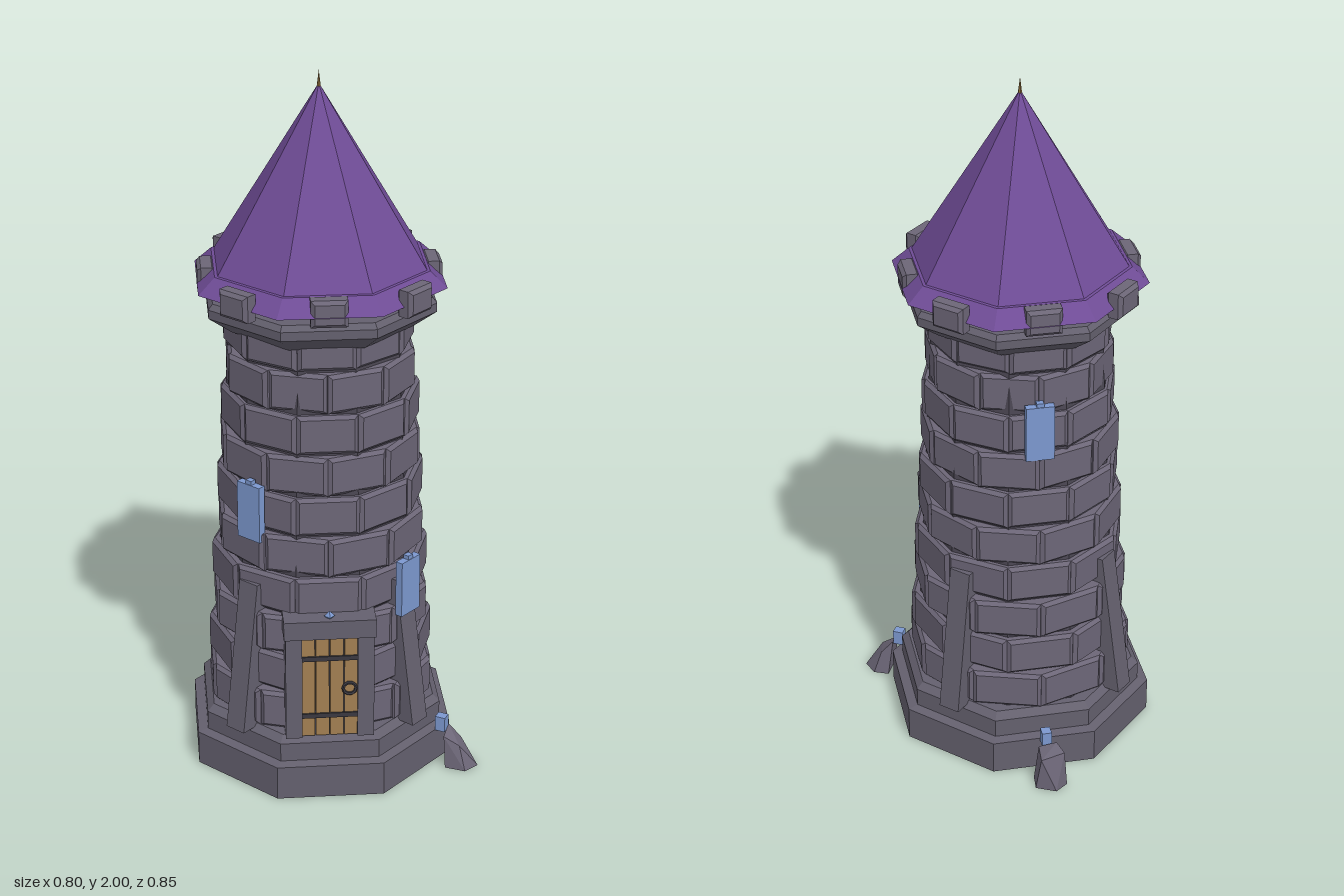
import * as THREE from 'three';
import { ConvexGeometry } from 'three/addons/geometries/ConvexGeometry.js';

const mat = (name, color, extra = {}) =>
  new THREE.MeshStandardMaterial({ name, color, flatShading: true, ...extra });

// Box with chamfered edges, centred on the origin
function chamferBox(w, h, d, b) {
  const x = w / 2 - b, y = h / 2 - b;
  const s = new THREE.Shape([[-x, -y], [x, -y], [x, y], [-x, y]].map(p => new THREE.Vector2(...p)));
  const g = new THREE.ExtrudeGeometry(s, {
    depth: d - 2 * b, bevelSize: b, bevelThickness: b, bevelSegments: 1
  });
  return g.translate(0, 0, -(d / 2 - b));
}

// Octagonal turned form; radii are measured to the flat sides
function octagon(profile) {
  const pts = profile.map(([r, y]) => new THREE.Vector2(r / Math.cos(Math.PI / 8), y));
  return new THREE.LatheGeometry(pts, 8, Math.PI / 8);
}

export function createModel() {
  const model = new THREE.Group();
  const tower = new THREE.Group();
  tower.name = 'tower';
  tower.position.set(-0.037, 0, 0.062);
  model.add(tower);

  const stone = mat('stone', 0x6c6677);
  const trim = mat('trimStone', 0x64606e);
  const mortar = mat('mortar', 0x4b4753);
  const purple = mat('roofPurple', 0x6f4c96);
  const wood = mat('wood', 0xa37f52);
  const iron = mat('iron', 0x3a3840);
  const blue = mat('blueGlass', 0x7c98cf);
  const gold = mat('finialBronze', 0x8a6a3a);

  const add = (name, geo, material, parent = tower) => {
    const m = new THREE.Mesh(geo, material);
    m.name = name;
    parent.add(m);
    return m;
  };
  // Place a part facing outward at an angle around the tower (0 = front)
  const around = (m, a, r, y) => {
    m.position.set(Math.sin(a) * r, y, Math.cos(a) * r);
    m.rotation.y = a;
    return m;
  };
  const deg = Math.PI / 180;
  let seed = 7;
  const rand = () => (seed = (seed * 16807) % 2147483647) / 2147483647;

  // Stepped plinth
  add('plinth', octagon([[0, 0], [0.362, 0], [0.362, 0.1], [0.334, 0.105],
    [0.334, 0.16], [0.315, 0.18], [0, 0.18]]), trim);

  // Mortar core behind the stone courses
  const core = new THREE.CylinderGeometry(0.247, 0.308, 1.18, 10, 1, false, Math.PI / 10);
  add('core', core, mortar).position.y = 0.76;

  // Staggered stone courses
  for (let row = 0; row < 10; row++) {
    const apothem = 0.312 - row * 0.0068;
    const w = 2 * apothem * Math.tan(Math.PI / 10) - 0.006;
    const geo = chamferBox(w, 0.112, 0.06, 0.01);
    for (let i = 0; i < 10; i++) {
      const r = apothem - 0.03 + (rand() - 0.5) * 0.008;
      if (row === 1 && i === 0) continue;            // doorway
      const a = (i * 36 + (row % 2 ? 0 : 18)) * deg;
      around(add('stoneBlock', geo, stone), a, r, 0.237 + row * 0.1185);
    }
  }

  // Flared parapet ledge
  add('parapetLedge', octagon([[0, 1.31], [0.245, 1.31], [0.307, 1.36],
    [0.307, 1.385], [0.295, 1.4], [0, 1.4]]), trim);

  // Merlons
  const merlon = chamferBox(0.098, 0.075, 0.05, 0.01);
  for (let i = 0; i < 8; i++) {
    around(add('merlon', merlon, stone), i * 45 * deg, i % 2 ? 0.33 : 0.307, 1.438);
  }

  // Roof with a flared eave, and finial
  add('roof', octagon([[0, 1.43], [0.333, 1.43], [0.288, 1.474], [0.28, 1.475], [0, 1.965]]), purple);
  add('finial', new THREE.ConeGeometry(0.008, 0.06, 6), gold).position.y = 1.97;

  // Sloping diagonal buttresses
  const side = new THREE.Shape([[0.25, 0.17], [0.37, 0.17], [0.305, 0.61], [0.25, 0.61]]
    .map(p => new THREE.Vector2(...p)));
  const buttress = new THREE.ExtrudeGeometry(side, { depth: 0.065, bevelEnabled: false })
    .translate(0, 0, -0.0325).rotateY(-Math.PI / 2);
  for (let i = 0; i < 4; i++) add('buttress', buttress, trim).rotation.y = (45 + 90 * i) * deg;

  // Blue windows: angle, radius, height
  for (const [a, r, y] of [[-45, 0.29, 0.825], [45, 0.32, 0.59], [180, 0.273, 1.075]]) {
    const win = new THREE.Group();
    win.name = 'window';
    tower.add(around(win, a * deg, r, y));
    add('windowPane', new THREE.BoxGeometry(0.08, 0.165, 0.022), blue, win);
    add('windowCap', new THREE.BoxGeometry(0.02, 0.012, 0.018), blue, win).position.y = 0.088;
  }

  // Door
  const door = new THREE.Group();
  door.name = 'door';
  tower.add(door);
  const box = (name, w, h, d, x, y, z, material) =>
    add(name, new THREE.BoxGeometry(w, h, d), material, door).position.set(x, y, z);
  box('doorBack', 0.16, 0.32, 0.04, 0, 0.34, 0.299, iron);
  for (let i = 0; i < 4; i++) box('doorPlank', 0.037, 0.31, 0.02, (i - 1.5) * 0.04, 0.335, 0.318, wood);
  for (const y of [0.245, 0.425]) box('hingeStrap', 0.155, 0.014, 0.006, 0, y, 0.33, iron);
  for (const s of [-1, 1]) box('doorPost', 0.046, 0.33, 0.08, s * 0.1, 0.345, 0.3, trim);
  box('doorLintel', 0.255, 0.055, 0.09, 0, 0.52, 0.3, trim);
  const ring = add('doorHandle', new THREE.TorusGeometry(0.018, 0.005, 5, 10), iron, door);
  ring.position.set(0.055, 0.33, 0.333);
  const gem = add('doorGem', new THREE.OctahedronGeometry(0.015), blue, door);
  gem.position.set(0, 0.553, 0.32);

  // Boulders with small blue lamps beside the plinth
  const boulders = [
    [180, [[-0.04, 0, 0.41], [0.03, 0, 0.405], [0.047, 0, 0.46], [0.01, 0, 0.487], [-0.045, 0, 0.46],
      [-0.025, 0.105, 0.405], [0.025, 0.12, 0.415], [0.04, 0.11, 0.455], [-0.03, 0.1, 0.465]]],
    [60, [[-0.04, 0, 0.415], [0.04, 0, 0.41], [0.045, 0, 0.455], [0.012, 0, 0.495], [-0.035, 0, 0.475],
      [-0.03, 0.095, 0.405], [0.02, 0.11, 0.4], [0.03, 0.07, 0.435], [-0.02, 0.07, 0.45]]]
  ];
  for (const [a, pts] of boulders) {
    const rock = new ConvexGeometry(pts.map(p => new THREE.Vector3(...p)));
    add('boulder', rock, stone).rotation.y = a * deg;
    around(add('lamp', new THREE.BoxGeometry(0.028, 0.045, 0.03), blue), a * deg, 0.386, 0.122);
  }

  return model;
}
